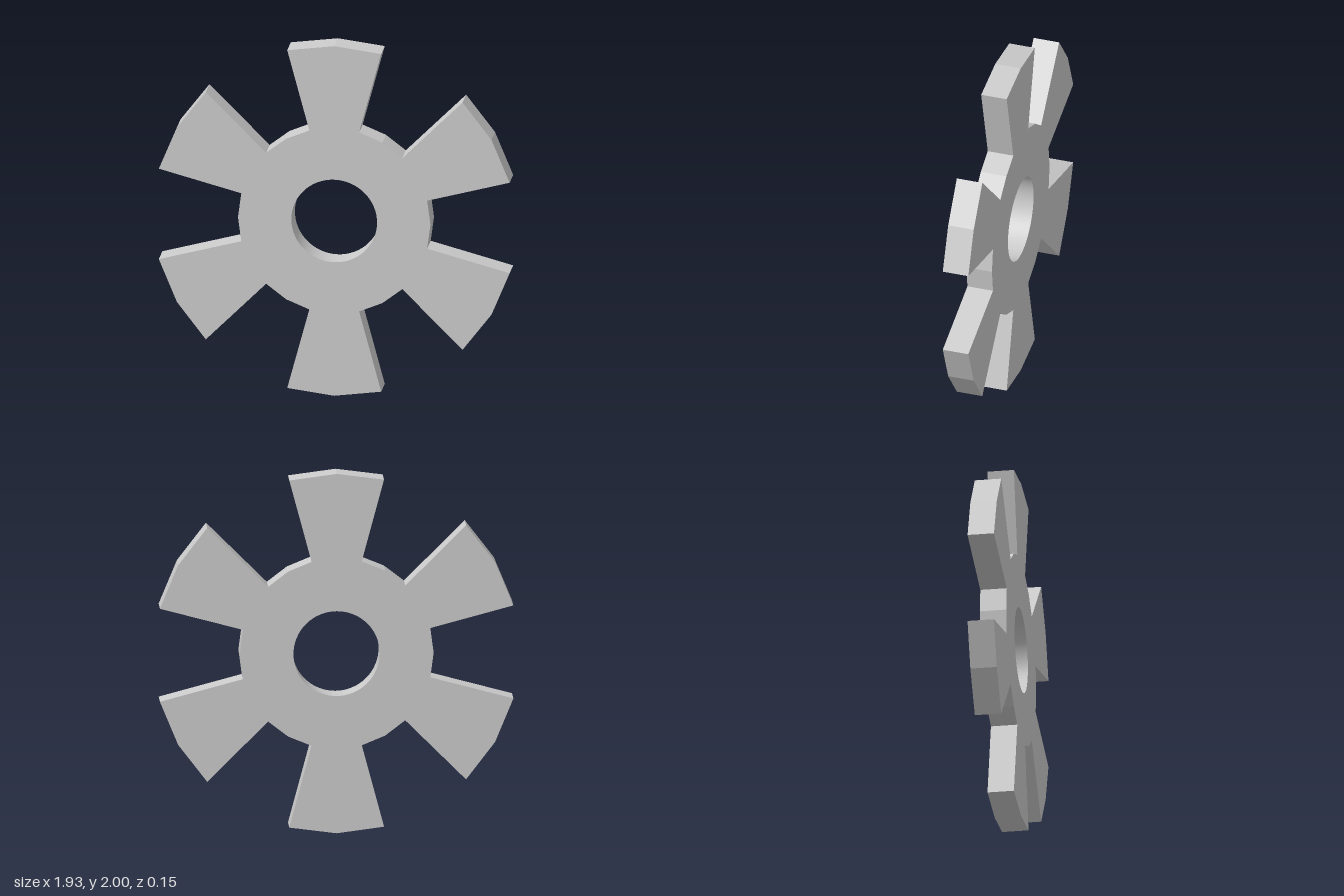
import * as THREE from 'three';
import { toCreasedNormals } from 'three/addons/utils/BufferGeometryUtils.js';

const BLADES = 6;
const TIP_RADIUS = 1;
const HUB_RADIUS = 0.53;
const BORE_RADIUS = 0.236;
const THICKNESS = 0.146;
const STEP = Math.PI / 12; // 15 degrees, four steps per blade

export function createModel() {
  const group = new THREE.Group();
  group.name = 'bladedWheel';

  // Outline: each blade has three tip points, then three hub points in the gap
  const outline = [];
  const add = (radius, step) => outline.push(new THREE.Vector2(
    radius * Math.cos(Math.PI / 2 + step * STEP),
    radius * Math.sin(Math.PI / 2 + step * STEP)
  ));
  for (let i = 0; i < BLADES; i++) {
    for (const s of [-1, 0, 1]) add(TIP_RADIUS, i * 4 + s);
    for (const s of [1, 2, 3]) add(HUB_RADIUS, i * 4 + s);
  }
  const shape = new THREE.Shape(outline);

  // Round centre bore
  const bore = new THREE.Path();
  bore.absarc(0, 0, BORE_RADIUS, 0, Math.PI * 2, true);
  shape.holes.push(bore);

  const extruded = new THREE.ExtrudeGeometry(shape, {
    depth: THICKNESS, bevelEnabled: false, curveSegments: 32
  });
  extruded.translate(0, TIP_RADIUS, -THICKNESS / 2);

  // Smooth bore, sharp facets everywhere else
  const wheel = new THREE.Mesh(
    toCreasedNormals(extruded, 0.2),
    new THREE.MeshStandardMaterial({ color: 0xcccccc })
  );
  wheel.name = 'wheel';
  group.add(wheel);
  return group;
}
